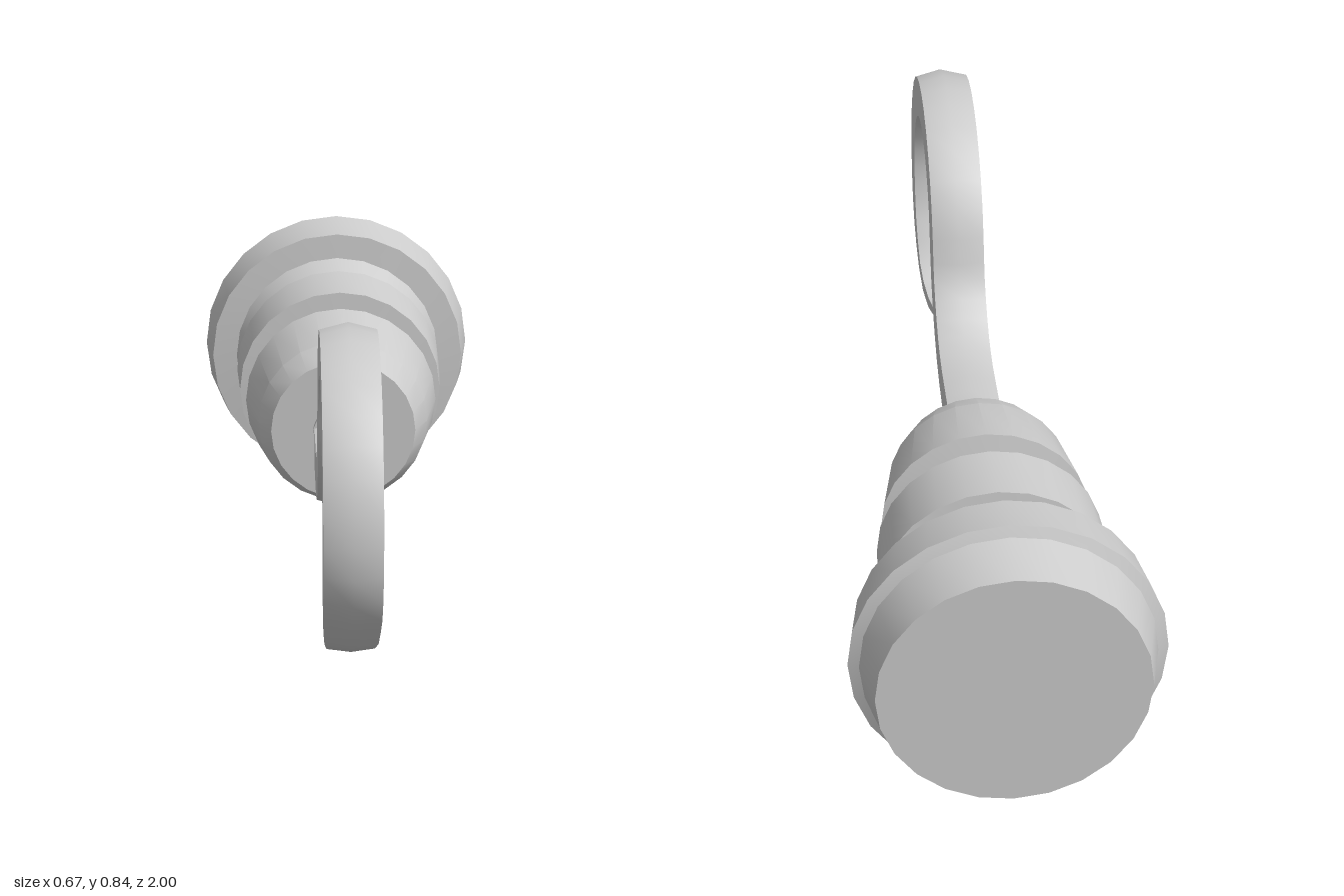
import * as THREE from 'three';
import { toCreasedNormals } from 'three/addons/utils/BufferGeometryUtils.js';

const material = new THREE.MeshStandardMaterial({ color: 0xcccccc });
const AXIS_Y = 0.335;
const HOOK_X = -0.01;

function addMesh(group, name, geometry, crease) {
  const mesh = new THREE.Mesh(toCreasedNormals(geometry, crease), material);
  mesh.name = name;
  group.add(mesh);
  return mesh;
}

// Turned part: profile of [radius, distance behind the origin], axis along -z
function turned(profile) {
  const points = profile.map(([r, d]) => new THREE.Vector2(r, d));
  return new THREE.LatheGeometry(points, 24).rotateX(-Math.PI / 2).translate(0, AXIS_Y, 0);
}

// Six-sided bar swept along a curve in the yz plane, ridged on its outer and inner edges
function sweptBar(curve, steps, sizeAt) {
  const positions = [], index = [];
  for (let i = 0; i <= steps; i++) {
    const u = i / steps;
    const p = curve.getPointAt(u), t = curve.getTangentAt(u);
    const { w, h } = sizeAt(u);
    const s = h * 0.76;
    for (const [x, n] of [[w, -s], [w, s], [0, h], [-w, s], [-w, -s], [0, -h]]) {
      positions.push(HOOK_X + x, p.y + n * t.z, p.z - n * t.y);
    }
  }
  for (let i = 0; i < steps; i++) {
    for (let j = 0; j < 6; j++) {
      const k = (j + 1) % 6;
      const a = i * 6 + j, b = i * 6 + k, c = b + 6, d = a + 6;
      index.push(a, b, d, b, c, d);
    }
  }
  const last = steps * 6;
  for (let j = 1; j < 5; j++) {
    index.push(0, j + 1, j, last, last + j, last + j + 1);
  }
  const geometry = new THREE.BufferGeometry();
  geometry.setAttribute('position', new THREE.Float32BufferAttribute(positions, 3));
  geometry.setIndex(index);
  return geometry;
}

export function createModel() {
  const model = new THREE.Group();
  model.name = 'hookHand';

  // Stepped cuff, closed at both ends
  addMesh(model, 'cuff', turned([
    [0, 0.18], [0.17, 0.18], [0.2, 0.245], [0.23, 0.41],
    [0.175, 0.42], [0.175, 0.49],
    [0.245, 0.495], [0.253, 0.655],
    [0.2, 0.66], [0.255, 0.765],
    [0.315, 0.77], [0.333, 0.88],
    [0.31, 0.89], [0.285, 1.0], [0, 1.0],
  ]), 0.3);

  // Washer seated on the cuff
  addMesh(model, 'washer', turned([
    [0, 0.15], [0.072, 0.15], [0.072, 0.166], [0.055, 0.168], [0.055, 0.185], [0, 0.185],
  ]), 0.3);

  // Collar and thin stem joining washer and hook
  const collar = new THREE.BoxGeometry(0.09, 0.08, 0.02).translate(HOOK_X, AXIS_Y, -0.143);
  addMesh(model, 'collar', collar, 0.3);
  const stemPath = new THREE.LineCurve3(
    new THREE.Vector3(0, AXIS_Y, -0.16), new THREE.Vector3(0, AXIS_Y, -0.04));
  addMesh(model, 'stem', sweptBar(stemPath, 1, () => ({ w: 0.033, h: 0.029 })), 0.4);

  // Hook: straight shank, S-bend, round bow, tapering tip
  const path = [
    [-0.05, 0.338], [0.04, 0.338], [0.13, 0.34], [0.22, 0.362], [0.3, 0.415],
    [0.36, 0.49], [0.385, 0.57],
  ];
  // Bow around its own centre
  for (let deg = 150; deg >= -45; deg -= 15) {
    const a = THREE.MathUtils.degToRad(deg);
    path.push([0.655 + 0.282 * Math.cos(a), 0.498 + 0.285 * Math.sin(a)]);
  }
  path.push([0.8, 0.23], [0.735, 0.2], [0.66, 0.195]);
  const hookCurve = new THREE.CatmullRomCurve3(path.map(([z, y]) => new THREE.Vector3(0, y, z)));
  addMesh(model, 'hook', sweptBar(hookCurve, 32, (u) => {
    const taper = Math.max(0, (u - 0.8) / 0.2);
    return { w: 0.06 - 0.03 * taper ** 3, h: 0.063 - 0.051 * taper };
  }), 0.6);

  return model;
}
